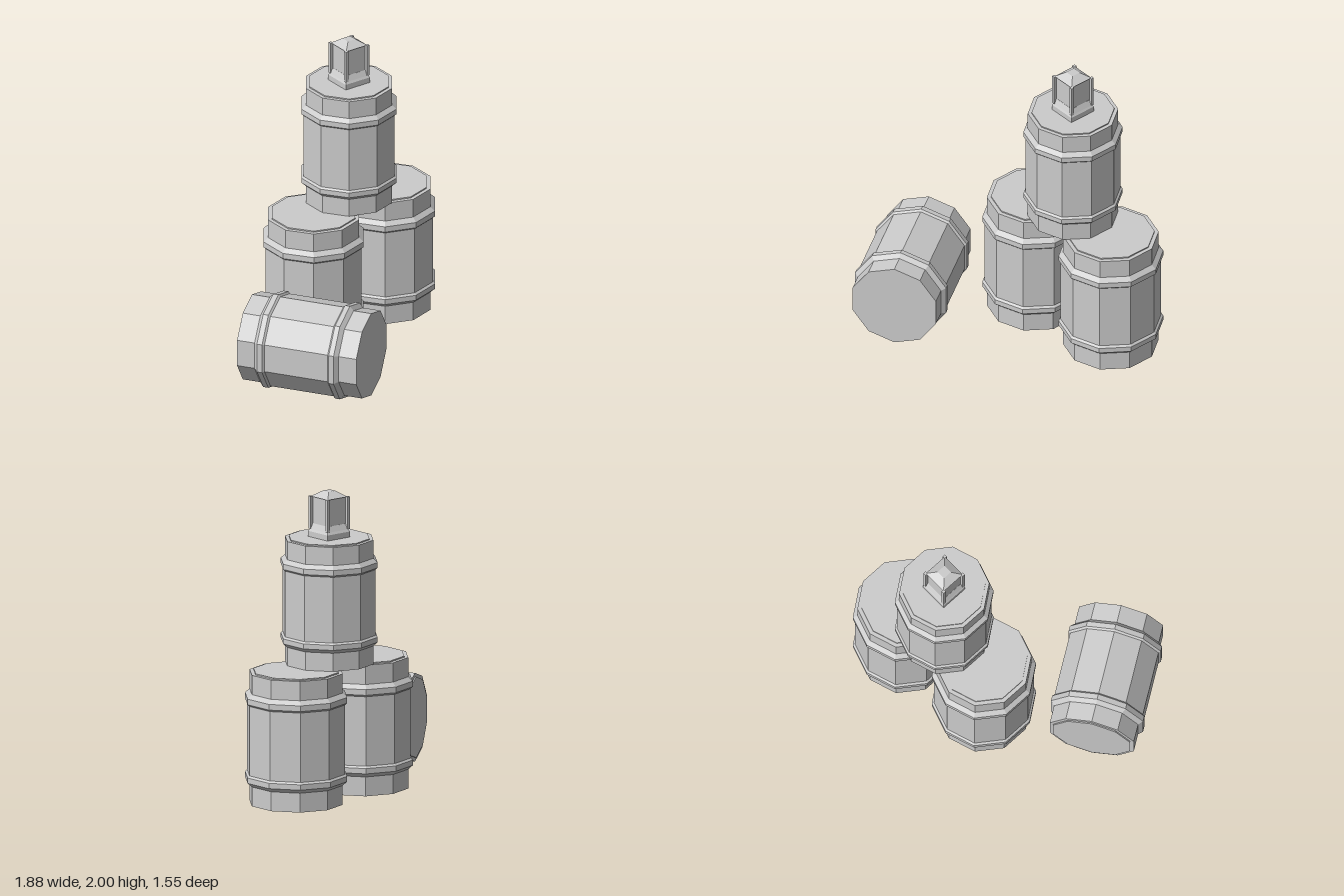
import * as THREE from 'three';
import { toCreasedNormals } from 'three/addons/utils/BufferGeometryUtils.js';

const grey = new THREE.MeshStandardMaterial({ color: 0xcccccc });
grey.name = 'stoneGrey';

function addMesh(parent, name, geometry, x = 0, y = 0, z = 0) {
  const mesh = new THREE.Mesh(toCreasedNormals(geometry, 0.01), grey);
  mesh.name = name;
  mesh.position.set(x, y, z);
  parent.add(mesh);
  return mesh;
}

// Ten-sided barrel with two bevelled hoops and a shallow lid
const barrelProfile = [
  [0, 0], [0.29, 0], [0.29, 0.12],
  [0.318, 0.145], [0.318, 0.178], [0.305, 0.19],
  [0.305, 0.62], [0.318, 0.632], [0.318, 0.667],
  [0.29, 0.693], [0.29, 0.812], [0.265, 0.812], [0.265, 0.82], [0, 0.82],
].map(([x, y]) => new THREE.Vector2(x, y));

function addBarrel(parent, name, x, y, z, scale = 1) {
  const barrel = addMesh(parent, name, new THREE.LatheGeometry(barrelProfile, 10), x, y, z);
  barrel.scale.setScalar(scale);
  return barrel;
}

// Square frustum given by its half widths
function frustum(top, bottom, height) {
  return new THREE.CylinderGeometry(top * Math.SQRT2, bottom * Math.SQRT2, height, 4)
    .rotateY(Math.PI / 4);
}

function createLantern() {
  const lantern = new THREE.Group();
  lantern.name = 'lantern';
  addMesh(lantern, 'lanternBase', new THREE.BoxGeometry(0.19, 0.036, 0.19), 0, 0.018, 0);
  addMesh(lantern, 'lanternBaseBevel', frustum(0.085, 0.095, 0.016), 0, 0.044, 0);
  addMesh(lantern, 'lanternSkirt', frustum(0.075, 0.092, 0.035), 0, 0.0695, 0);
  addMesh(lantern, 'lanternPanes', new THREE.BoxGeometry(0.148, 0.18, 0.148), 0, 0.175, 0);
  for (const sx of [-1, 1]) for (const sz of [-1, 1]) {
    addMesh(lantern, 'lanternPost', new THREE.BoxGeometry(0.02, 0.213, 0.02),
      sx * 0.084, 0.1585, sz * 0.084);
  }
  addMesh(lantern, 'lanternRoof', frustum(0.03, 0.084, 0.037), 0, 0.2815, 0);
  return lantern;
}

export function createModel() {
  const model = new THREE.Group();
  model.name = 'barrelStack';

  // Standing barrels
  addBarrel(model, 'lowerRightBarrel', -0.013, 0.015, -0.342, 1.055);
  addBarrel(model, 'lowerLeftBarrel', 0.622, 0.015, -0.438, 1.055);
  addBarrel(model, 'upperBarrel', 0.304, 0.88, -0.392);

  // Barrel lying on its side, lid towards the rear
  const lying = addBarrel(model, 'lyingBarrel', -0.264, 0.318, 0.625);
  lying.rotation.set(-Math.PI / 2, 0.584, 0, 'YXZ');

  const lantern = createLantern();
  lantern.position.set(0.304, 1.7, -0.392);
  model.add(lantern);
  return model;
}
